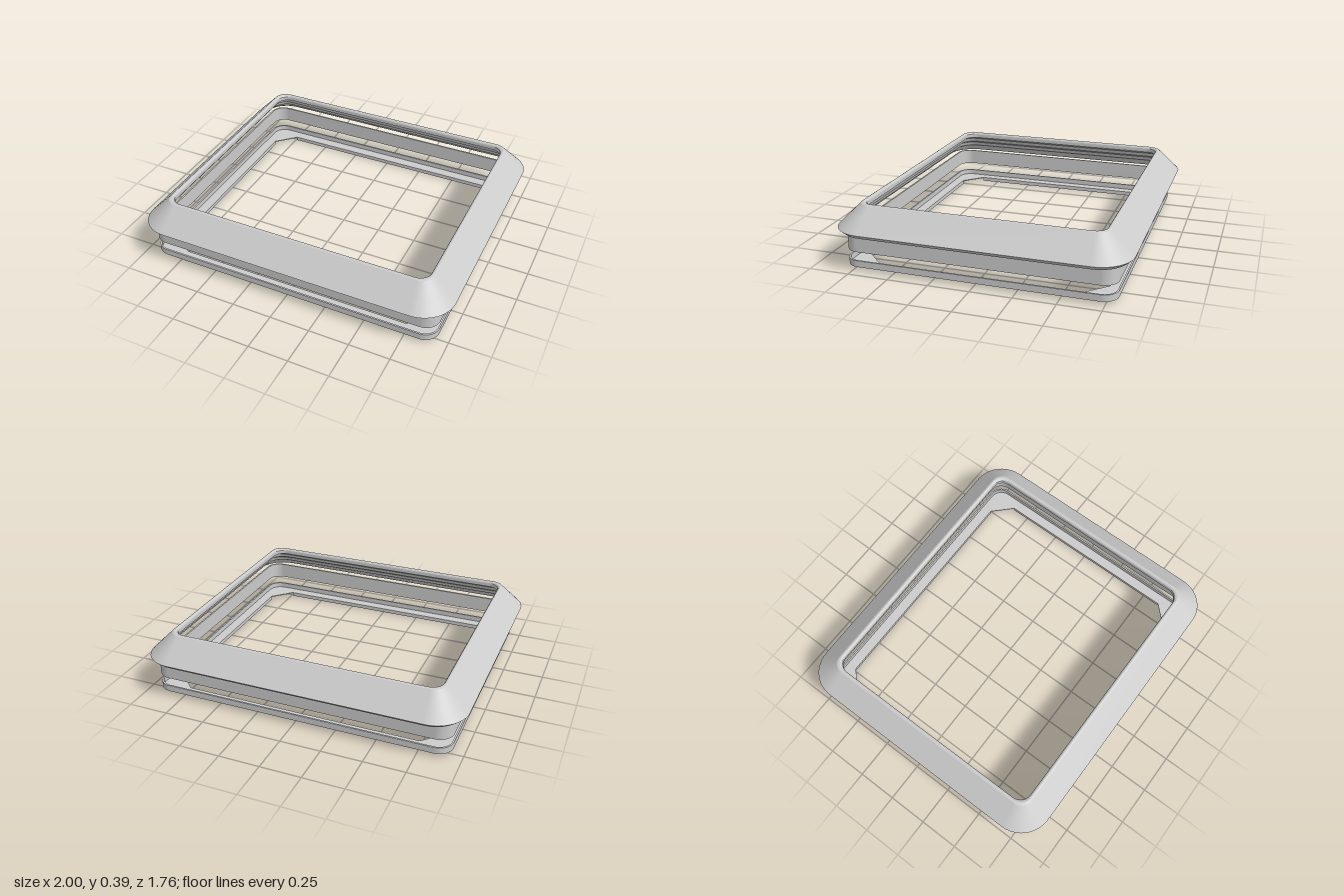
import * as THREE from 'three';

const material = new THREE.MeshStandardMaterial({ color: 0xcccccc });
const sheetMaterial = new THREE.MeshStandardMaterial({ color: 0xcccccc, side: THREE.DoubleSide });
const BEZEL = { hx: 1, hz: 0.88, radius: 0.2 };
const BASE = { hx: 0.934, hz: 0.81, radius: 0.09 };

// Rounded rectangle, inset by d from the given plan, as points [x, z]
function outline({ hx, hz, radius }, d, steps = 10) {
  const r = Math.max(0.075, radius - d * 0.9);
  const cx = hx - d - r, cz = hz - d - r;
  const points = [];
  [[1, 1], [-1, 1], [-1, -1], [1, -1]].forEach(([sx, sz], q) => {
    for (let i = 0; i <= steps; i++) {
      const a = (q + i / steps) * Math.PI / 2;
      points.push([sx * cx + r * Math.cos(a), -(sz * cz + r * Math.sin(a))]);
    }
  });
  return points;
}

// Sweep a profile of [inset, y] around a plan, with a crease at every profile point
function sweep(name, plan, profile) {
  const position = [], index = [];
  for (let p = 0; p + 1 < profile.length; p++) {
    const base = position.length / 3;
    const rings = [profile[p], profile[p + 1]].map(([d, y]) => outline(plan, d).map(([x, z]) => [x, y, z]));
    const n = rings[0].length;
    rings.flat().forEach((v) => position.push(...v));
    for (let i = 0; i < n; i++) {
      const a = base + i, b = base + (i + 1) % n;
      index.push(a, b, b + n, a, b + n, a + n);
    }
  }
  const geometry = new THREE.BufferGeometry();
  geometry.setAttribute('position', new THREE.Float32BufferAttribute(position, 3));
  geometry.setIndex(index);
  geometry.computeVertexNormals();
  const mesh = new THREE.Mesh(geometry, sheetMaterial);
  mesh.name = name;
  return mesh;
}

// Thin upright wall around the base plan
function wall(name, y0, y1) {
  const t = 0.01;
  return sweep(name, BASE, [[0, y0], [0, y1], [t, y1], [t, y0], [0, y0]]);
}

export function createModel() {
  const group = new THREE.Group();

  // Bezel: closed sloping shell with a sharp lip, a rounded rim and a ridged underside
  group.add(sweep('bezel', BEZEL, [
    [0.03, 0.217], [0, 0.245], [0.138, 0.382],
    [0.146, 0.3855], [0.152, 0.3855], [0.158, 0.382], [0.1625, 0.375], [0.163, 0.367],
    [0.163, 0.35], [0.14, 0.335], [0.13, 0.31], [0.105, 0.295],
    [0.095, 0.27], [0.065, 0.255], [0.05, 0.232], [0.03, 0.217],
  ]));

  // Upright band under the bezel, and the rim of the base tray
  group.add(wall('band', 0.115, 0.217));
  group.add(wall('baseRim', 0.02, 0.06));

  // Base flange with an opening cut across the corners
  const ox = 0.86, oz = 0.735, sx = 0.74, sz = 0.615;
  const shape = new THREE.Shape(outline(BASE, 0.002).map(([x, z]) => new THREE.Vector2(x, -z)));
  const opening = [[ox, sz], [sx, oz], [-sx, oz], [-ox, sz], [-ox, -sz], [-sx, -oz], [sx, -oz], [ox, -sz]];
  shape.holes.push(new THREE.Path(opening.map(([x, y]) => new THREE.Vector2(x, y))));
  const flangeGeometry = new THREE.ExtrudeGeometry(shape, { depth: 0.006, bevelEnabled: false });
  flangeGeometry.rotateX(-Math.PI / 2);
  const flange = new THREE.Mesh(flangeGeometry, material);
  flange.name = 'baseFlange';
  flange.position.y = 0.02;
  group.add(flange);

  // Thin skirts hanging from the straight edges of the opening
  for (const s of [-1, 1]) {
    const long = new THREE.Mesh(new THREE.PlaneGeometry(2 * sx, 0.02), sheetMaterial);
    long.name = s > 0 ? 'frontSkirt' : 'backSkirt';
    long.position.set(0, 0.01, s * oz);
    const short = new THREE.Mesh(new THREE.PlaneGeometry(2 * sz, 0.02), sheetMaterial);
    short.name = s > 0 ? 'leftSkirt' : 'rightSkirt';
    short.position.set(s * ox, 0.01, 0);
    short.rotation.y = Math.PI / 2;
    group.add(long, short);
  }
  return group;
}
